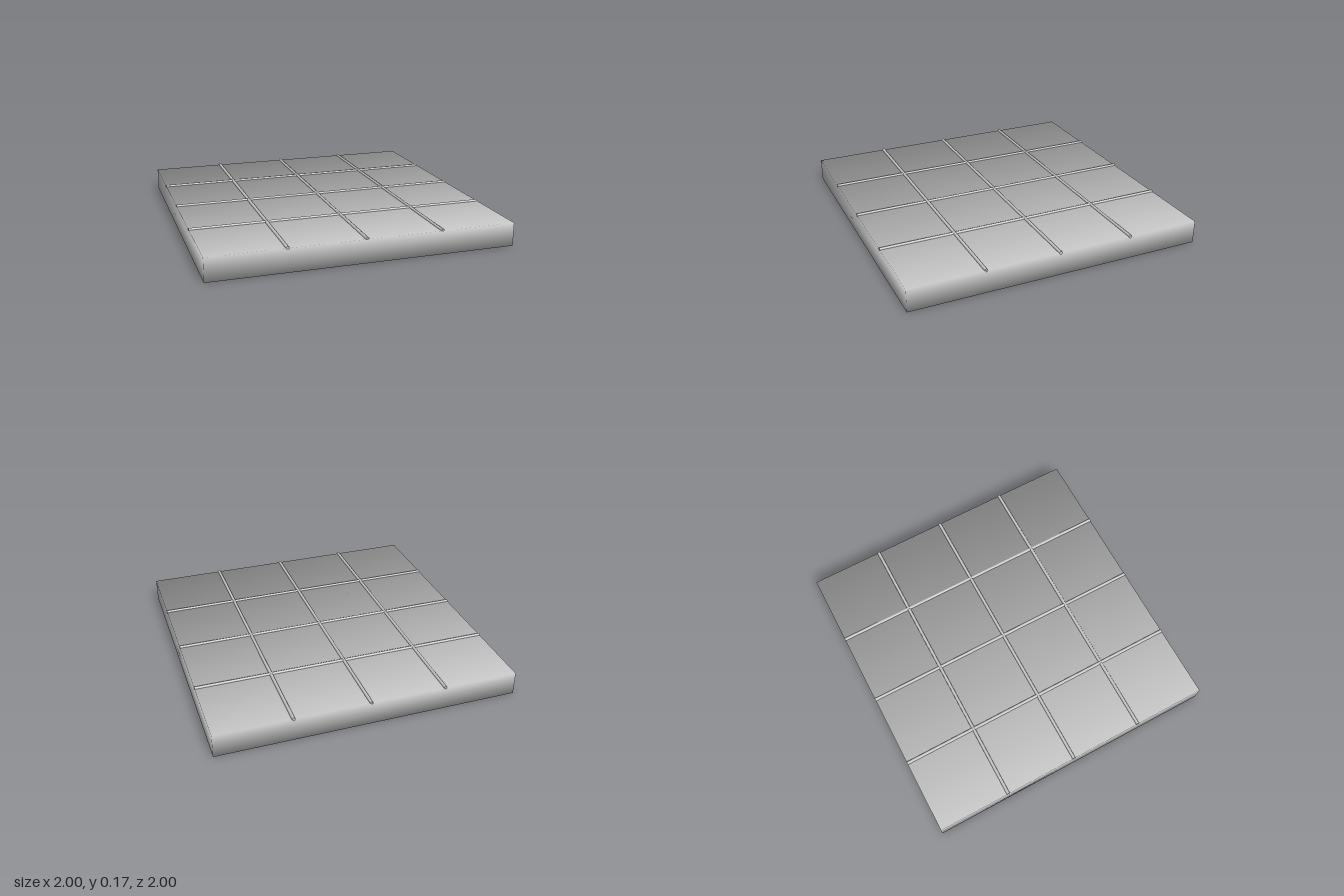
import * as THREE from 'three';

const SIZE = 2, THICKNESS = 0.155, ROD_RADIUS = 0.011;

export function createModel() {
  const group = new THREE.Group();
  const grey = new THREE.MeshStandardMaterial({ color: 0xcccccc });
  grey.name = 'plain grey';

  // Square slab, its normals shared around each corner for soft shading
  const slabGeometry = new THREE.BoxGeometry(SIZE, THICKNESS, SIZE);
  const { position, normal } = slabGeometry.attributes;
  const n = new THREE.Vector3();
  for (let i = 0; i < position.count; i++) {
    n.set(Math.sign(position.getX(i)), Math.sign(position.getY(i)), Math.sign(position.getZ(i))).normalize();
    normal.setXYZ(i, n.x, n.y, n.z);
  }
  const slab = new THREE.Mesh(slabGeometry, grey);
  slab.name = 'slab';
  slab.position.y = THICKNESS / 2;
  group.add(slab);

  // Thin rods half sunk into the top, three each way
  const rodGeometry = new THREE.CylinderGeometry(ROD_RADIUS, ROD_RADIUS, SIZE, 8);
  for (const offset of [-0.5, 0, 0.5]) {
    const across = new THREE.Mesh(rodGeometry, grey);
    across.name = 'crossRod';
    across.rotation.z = Math.PI / 2;
    across.position.set(0, THICKNESS, offset);

    const along = new THREE.Mesh(rodGeometry, grey);
    along.name = 'lengthRod';
    along.rotation.x = Math.PI / 2;
    along.position.set(offset, THICKNESS, 0);
    group.add(across, along);
  }
  return group;
}
